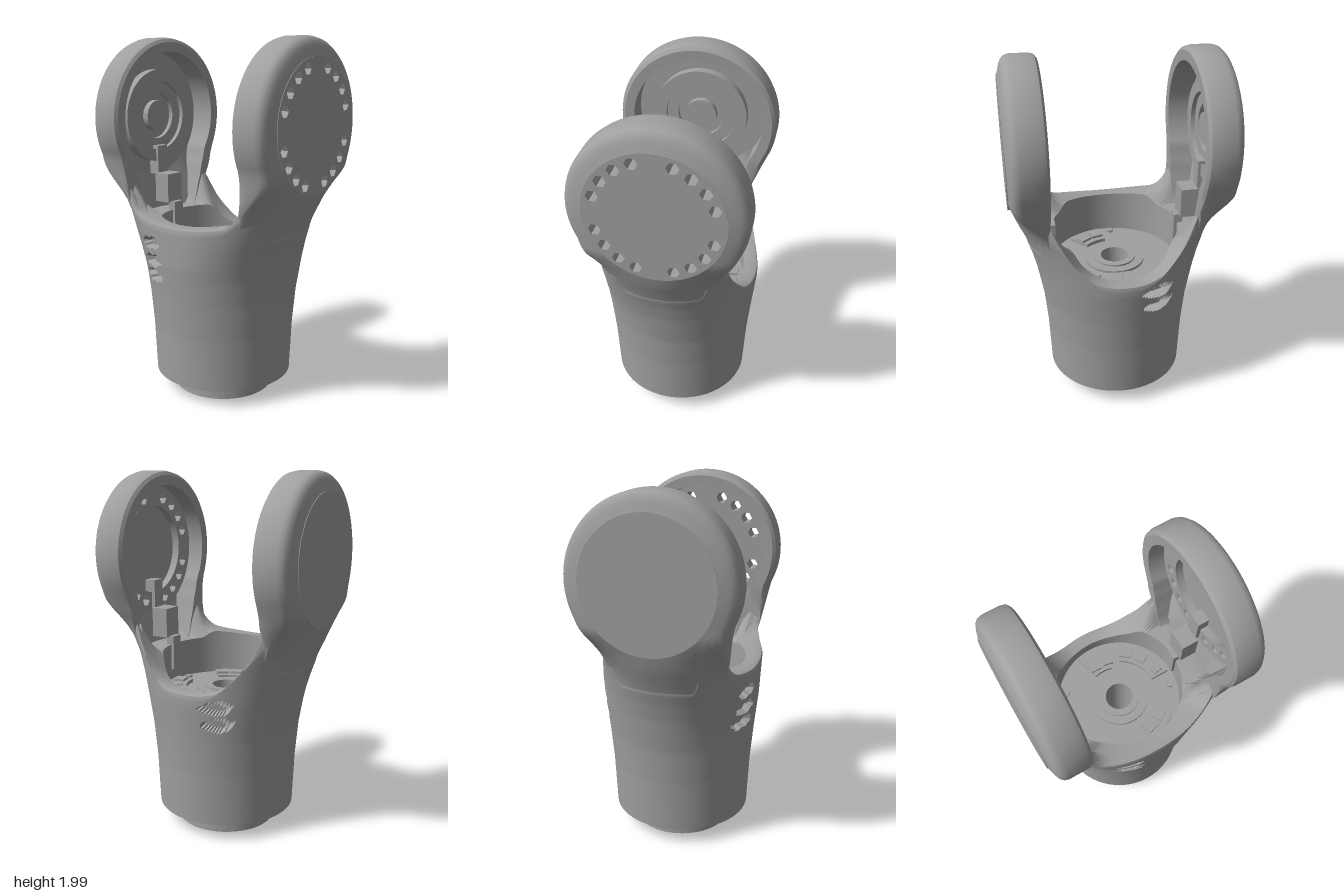
import * as THREE from 'three';
import { toCreasedNormals } from 'three/addons/utils/BufferGeometryUtils.js';

const grey = new THREE.MeshStandardMaterial({ color: 0xa0a0a0 });
grey.name = 'castGrey';
const TAU = Math.PI * 2, HUB = 1.55;

function add(parent, name, geo) {
  const m = new THREE.Mesh(geo, grey);
  m.name = name;
  parent.add(m);
  return m;
}
function box(parent, name, w, h, d, x, y, z, ry = 0) {
  const m = add(parent, name, new THREE.BoxGeometry(w, h, d));
  m.position.set(x, y, z);
  m.rotation.y = ry;
}
// piecewise linear lookup in [[key, value], ...]
function lookup(table, k) {
  if (k <= table[0][0]) return table[0][1];
  for (let i = 1; i < table.length; i++) {
    const [a, va] = table[i - 1], [b, vb] = table[i];
    if (k <= b) return va + (vb - va) * (k - a) / (b - a);
  }
  return table[table.length - 1][1];
}
const smooth = THREE.MathUtils.smoothstep;
const lerp = THREE.MathUtils.lerp;

// skin over a list of closed loops
function loft(loops) {
  const n = loops[0].length, idx = [];
  for (let i = 0; i < loops.length - 1; i++) for (let j = 0; j < n; j++) {
    const a = i * n + j, b = i * n + (j + 1) % n, c = a + n, d = b + n;
    idx.push(a, c, b, b, c, d);
  }
  const g = new THREE.BufferGeometry();
  g.setAttribute('position', new THREE.Float32BufferAttribute(loops.flat(2), 3));
  g.setIndex(idx);
  return toCreasedNormals(g, 0.6);
}
// flat disc with a centre hole and rings of small holes: [count or angles, circle, radius, sides]
function disc(r, bore, depth, rings = []) {
  const s = new THREE.Shape().absarc(0, 0, r, 0, TAU);
  if (bore) s.holes.push(new THREE.Path().absarc(0, 0, bore, 0, TAU, true));
  for (const [angles, R, hr, sides] of rings) for (const a of angles) {
    const pts = [];
    for (let k = 0; k < sides; k++) {
      const t = -k / sides * TAU;
      pts.push(new THREE.Vector2(R * Math.cos(a) + hr * Math.cos(t), R * Math.sin(a) + hr * Math.sin(t)));
    }
    s.holes.push(new THREE.Path(pts));
  }
  return toCreasedNormals(new THREE.ExtrudeGeometry(s, { depth, bevelEnabled: false, curveSegments: 32 }), 0.6);
}
const flat = (g, y) => g.rotateX(-Math.PI / 2).translate(0, y, 0);
const upright = (g, x) => g.rotateY(Math.PI / 2).translate(x, HUB, 0);
const even = (n, off = 0) => Array.from({ length: n }, (_, i) => (i + off) / n * TAU);

// body half widths by height
const RX = [[0.11, 0.39], [0.4, 0.402], [0.6, 0.42], [0.8, 0.455], [0.9, 0.48], [1, 0.512], [1.1, 0.556], [1.2, 0.577], [1.3, 0.59]];
const RZ = [[0.11, 0.39], [0.4, 0.403], [0.6, 0.42], [0.8, 0.44], [1.3, 0.45]];
const power = (y, z) => z > 0 ? 2 + 0.4 * smooth(y, 0.7, 1.05) : 2;
function bodyPoint(t, y) {
  const c = Math.cos(t), s = Math.sin(t), e = 2 / power(y, s);
  return [lookup(RX, y) * Math.sign(c) * Math.abs(c) ** e, y, lookup(RZ, y) * Math.sign(s) * Math.abs(s) ** e];
}
// rim height: high in front, scooped low at the back, open into the arms
function rim(x, z) {
  x = Math.min(Math.abs(x), 0.39);
  const u = Math.max(0, (x - 0.28) / 0.11);
  const y = z > 0 ? 1.02 + 0.33 * x * x + 0.13 * (1 - Math.sqrt(Math.max(0, 1 - u * u))) : 0.86 + 5.4 * x ** 3;
  return lerp(1.0, y, smooth(Math.abs(z), 0.2, 0.28));
}
const FRONT_SLOTS = [0.72, 0.81, 0.91], BACK_SLOTS = [0.7, 0.795];
function inSlot(x, y, z) {
  return (z > 0 ? FRONT_SLOTS : BACK_SLOTS).some(
    sy => Math.abs(x + 0.17) / 0.085 + 0.6 * Math.abs(y - sy) / 0.03 < 1 && Math.abs(y - sy) < 0.028);
}
function body() {
  const N = 160, ROWS = 64, INNER = 0.36, loops = [];
  const angles = even(N);
  const tops = angles.map(t => { const p = bodyPoint(t, 1.05); return rim(p[0], p[2]); });
  for (let i = 0; i <= ROWS; i++) loops.push(angles.map((t, j) => {
    const p = bodyPoint(t, lerp(0.11, tops[j] - 0.025, i / ROWS));
    if (inSlot(...p)) { p[0] *= 0.91; p[2] *= 0.91; }
    return p;
  }));
  // rounded rim, then the bore down to the floor
  for (const k of [0.06, 0.25, 0.6, 1]) loops.push(angles.map((t, j) => {
    const p = bodyPoint(t, tops[j]);
    const x = lerp(p[0], INNER * Math.cos(t), k), z = lerp(p[2], INNER * Math.sin(t), k);
    return [x, rim(x, z) - (k < 0.1 ? 0.006 : 0), z];
  }));
  loops.push(angles.map(t => [INNER * Math.cos(t), 0.75, INNER * Math.sin(t)]));
  return loft(loops);
}

// arm outline and cavity as radius by angle from straight down
const OUT_FRONT = [[0, 0.62], [31, 0.68], [37, 0.589], [47, 0.513], [55, 0.472], [63, 0.45]];
const OUT_BACK = [[0, 0.62], [27, 0.65], [32.5, 0.558], [38, 0.515], [44, 0.488], [54, 0.46], [63, 0.45]];
const CAVITY = [[0, 0.56], [20, 0.59], [28, 0.5], [40, 0.42], [55, 0.37]];
function armShell(side) {
  const N = 96;
  // [radius kind, factor, x]
  const steps = [['disc', 0.35, 0.535], ['hole', 1, 0.535], ['hole', 1, 0.392], ['out', 0.945, 0.39], ['out', 0.985, 0.403],
    ['out', 1, 0.43], ['out', 1, 0.53], ['out', 0.985, 0.553], ['out', 0.95, 0.57], ['mix', 0.75, 0.578],
    ['mix', 0.5, 0.585], ['mix', 0.25, 0.59], ['disc', 0.35, 0.596]];
  return loft(steps.map(([kind, f, x]) => even(N).map(t => {
    const deg = Math.acos(THREE.MathUtils.clamp(-Math.cos(t), -1, 1)) * 180 / Math.PI;
    const front = -Math.sin(t) * side > 0;
    const o = lookup(front ? OUT_FRONT : OUT_BACK, deg);
    const r = kind === 'disc' ? f : kind === 'hole' ? lookup(CAVITY, deg) : kind === 'out' ? o * f : lerp(0.35, o * 0.95, f);
    const y = HUB + r * Math.cos(t), z = -r * Math.sin(t);
    // melt the foot of the arm into the body
    const n = power(y, z * side);
    const q = Math.min(1, Math.abs(z) / lookup(RZ, y));
    const skin = lookup(RX, y) * (1 - q ** n) ** (1 / n) - 0.003;
    return [lerp(x, Math.min(x, skin), 1 - smooth(y, 1.05, 1.32)), y, z];
  })));
}
function arm(side) {
  const g = new THREE.Group();
  g.name = side > 0 ? 'leftArm' : 'rightArm';
  add(g, 'armShell', armShell(side));
  const bolts = [];
  for (const a of [18, 36, 54, 72]) for (const b of [a, 180 - a, 180 + a, 360 - a]) bolts.push(b * Math.PI / 180);
  if (side > 0) {
    add(g, 'boltedCover', upright(disc(0.353, 0, 0.066, [[bolts, 0.305, 0.032, 6]]), 0.532));
    add(g, 'boltRing', upright(disc(0.368, 0.25, 0.045, [[bolts, 0.305, 0.032, 6]]), 0.487));
  } else {
    add(g, 'plainCover', upright(disc(0.353, 0, 0.066), 0.532));
    add(g, 'bearingSeat', upright(disc(0.27, 0.2, 0.055), 0.48));
    add(g, 'bearingStep', upright(disc(0.2, 0.135, 0.03), 0.505));
    add(g, 'bearingCore', upright(disc(0.09, 0, 0.04), 0.495));
  }
  // cable guide running from the hub into the body
  box(g, 'guideTop', 0.07, 0.17, 0.08, 0.5, 1.29, 0);
  box(g, 'guideBlock', 0.1, 0.17, 0.12, 0.42, 1.13, 0);
  box(g, 'guideTail', 0.05, 0.2, 0.07, 0.365, 0.95, 0);
  if (side < 0) g.rotation.y = Math.PI;
  return g;
}
// raised sector on the floor, angles measured from +x towards +z in degrees
function sector(r0, r1, a0, a1) {
  const A = -a1 * Math.PI / 180, B = -a0 * Math.PI / 180;
  const s = new THREE.Shape().absarc(0, 0, r1, A, B).absarc(0, 0, r0, B, A, true);
  return flat(new THREE.ExtrudeGeometry(s, { depth: 0.02, bevelEnabled: false }), 0.78);
}

export function createModel() {
  const g = new THREE.Group();
  g.name = 'forkJoint';
  add(g, 'body', body());
  g.add(arm(1), arm(-1));

  // mounting end
  add(g, 'basePlate', flat(disc(0.388, 0.08, 0.05, [[even(12, 0.5), 0.335, 0.02, 8]]), 0.111));
  add(g, 'baseBacking', new THREE.RingGeometry(0.08, 0.385, 48).rotateX(Math.PI / 2).translate(0, 0.158, 0));
  add(g, 'flange', flat(disc(0.28, 0.08, 0.1, [[even(12), 0.25, 0.014, 6]]), 0.012));
  const bore = add(g, 'bore', new THREE.CylinderGeometry(0.08, 0.08, 0.66, 32, 1, true));
  bore.position.y = 0.44;
  // seen only from inside
  bore.geometry.index.array.reverse();
  bore.geometry.attributes.normal.array.forEach((v, i, a) => { a[i] = -v; });

  // inner floor with its raised rings and modules
  add(g, 'floor', flat(disc(0.362, 0.08, 0.04), 0.74));
  add(g, 'floorRing', flat(disc(0.17, 0.08, 0.015), 0.78));
  add(g, 'floorCollar', flat(disc(0.12, 0.08, 0.025), 0.78));
  add(g, 'backModule', sector(0.19, 0.345, 254, 287));
  add(g, 'sideModule', sector(0.23, 0.34, 300, 360));
  add(g, 'frontModule', sector(0.2, 0.33, 47, 84));
  box(g, 'module', 0.06, 0.02, 0.12, -0.03, 0.805, -0.27);
  box(g, 'module', 0.06, 0.02, 0.12, 0.055, 0.805, -0.27, -0.15);
  for (const a of [308, 327, 349, 55, 74]) {
    const t = a * Math.PI / 180, r = a < 90 ? 0.26 : 0.285;
    box(g, 'module', 0.06, 0.016, 0.07, r * Math.cos(t), 0.805, r * Math.sin(t), -t);
  }
  for (const [x, z] of [[-0.26, -0.18], [0.31, 0.08], [-0.03, 0.32]]) {
    const p = add(g, 'floorPin', new THREE.CylinderGeometry(0.022, 0.022, 0.016, 5));
    p.position.set(x, 0.785, z);
  }
  return g;
}
